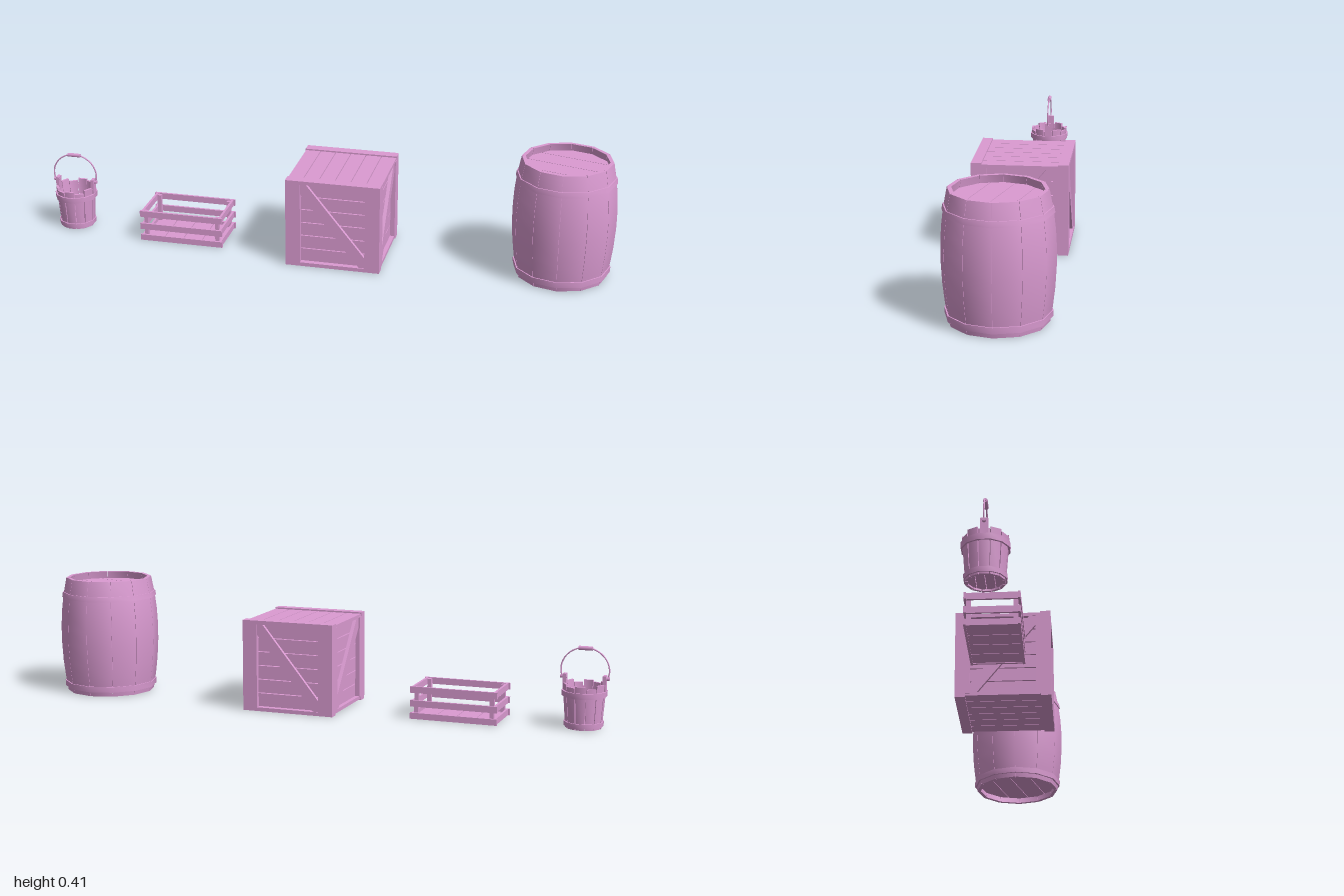
import * as THREE from 'three';
import { mergeGeometries, toCreasedNormals } from 'three/addons/utils/BufferGeometryUtils.js';

const material = new THREE.MeshStandardMaterial({ color: 0xdb9bd2, side: THREE.DoubleSide });

function add(parent, name, geometry, x = 0, y = 0, z = 0) {
  const mesh = new THREE.Mesh(geometry, material);
  mesh.name = name;
  mesh.position.set(x, y, z);
  parent.add(mesh);
  return mesh;
}

// Box given by its limits on each axis
function box(parent, name, [x0, x1], [y0, y1], [z0, z1]) {
  return add(parent, name, new THREE.BoxGeometry(x1 - x0, y1 - y0, z1 - z0),
    (x0 + x1) / 2, (y0 + y1) / 2, (z0 + z1) / 2);
}

function group(parent, name, x = 0, y = 0, z = 0) {
  const g = new THREE.Group();
  g.name = name;
  g.position.set(x, y, z);
  parent.add(g);
  return g;
}

// Closed ring profile from an outer line [r, y] and a wall thickness
function wall(outer, thickness) {
  const out = outer.map(([r, y]) => new THREE.Vector2(r, y));
  const inn = outer.map(([r, y]) => new THREE.Vector2(r - thickness, y)).reverse();
  return [...out, ...inn, out[0].clone()];
}

// Ring of separate staves: narrow gaps, closed sides, optional extra height per stave
function staves(profile, count, start, gap, rise = () => 0) {
  const top = Math.max(...profile.map(p => p.y));
  const step = Math.PI * 2 / count;
  const lathe = toCreasedNormals(new THREE.LatheGeometry(profile, count, start), 0.65);
  const pos = lathe.attributes.position;
  const perStave = pos.count / count;
  for (let v = 0; v < pos.count; v++) {
    const i = Math.floor(v / perStave);
    const mid = start + (i + 0.5) * step;
    const x = pos.getX(v), y = pos.getY(v), z = pos.getZ(v);
    const side = Math.sin(Math.atan2(x, z) - mid) > 0 ? -1 : 1;
    const c = Math.cos(side * gap), s = Math.sin(side * gap);
    pos.setXYZ(v, x * c + z * s, y > top - 1e-4 ? y + rise(i) : y, z * c - x * s);
  }
  const parts = [lathe];
  for (let i = 0; i < count; i++) {
    const section = profile.slice(0, -1).map(p => new THREE.Vector2(p.x, p.y > top - 1e-4 ? p.y + rise(i) : p.y));
    for (const phi of [start + i * step + gap, start + (i + 1) * step - gap]) {
      parts.push(new THREE.ShapeGeometry(new THREE.Shape(section)).rotateY(phi - Math.PI / 2).toNonIndexed());
    }
  }
  return mergeGeometries(parts);
}

function hoop(r0, r1, y0, y1, sides, start) {
  const profile = wall([[r0, y0], [r1, y1]], 0.012);
  return toCreasedNormals(new THREE.LatheGeometry(profile, sides, start), 0.65);
}

// Round head made of parallel boards
function head(parent, name, radius, y, thickness, count, turn) {
  const g = group(parent, name, 0, y, 0);
  g.rotation.y = turn;
  const w = radius * 2 / count;
  for (let i = 0; i < count; i++) {
    const a0 = Math.asin(Math.max(-1, -1 + (i * w + 0.001) / radius));
    const a1 = Math.asin(Math.min(1, -1 + ((i + 1) * w - 0.001) / radius));
    const pts = [];
    for (const side of [1, -1]) {
      for (let k = 0; k <= 5; k++) {
        const a = THREE.MathUtils.lerp(side > 0 ? a0 : a1, side > 0 ? a1 : a0, k / 5);
        pts.push(new THREE.Vector2(side * Math.cos(a) * radius, Math.sin(a) * radius));
      }
    }
    const geo = new THREE.ExtrudeGeometry(new THREE.Shape(pts), { depth: thickness, bevelEnabled: false });
    add(g, 'headBoard', geo.rotateX(-Math.PI / 2));
  }
}

function buildBarrel(root) {
  const g = group(root, 'barrel', 0.826);
  const outer = [[0.155, 0], [0.163, 0.05], [0.17, 0.11], [0.174, 0.18], [0.174, 0.235],
    [0.171, 0.29], [0.164, 0.35], [0.152, 0.412]];
  add(g, 'barrelStaves', staves(wall(outer, 0.013), 12, 0, 0.003));
  add(g, 'lowerHoop', hoop(0.164, 0.165, 0.016, 0.036, 12, 0));
  add(g, 'upperHoop', hoop(0.169, 0.166, 0.342, 0.36, 12, 0));
  head(g, 'barrelTop', 0.145, 0.375, 0.012, 4, -0.26);
  head(g, 'barrelBottom', 0.146, 0.02, 0.012, 4, -0.26);
}

function buildCrate(root) {
  const g = group(root, 'crate', 0.065);
  const H = 0.163, top = 0.314, lid = 0.013, post = 0.035, skin = 0.016;
  // Four sides: horizontal boards, two posts and a diagonal brace
  for (let s = 0; s < 4; s++) {
    const side = group(g, 'crateSide');
    side.rotation.y = s * Math.PI / 2;
    const half = s % 2 ? H : H - skin;
    const n = 6, h = (top - 2 * lid) / n;
    for (let i = 0; i < n; i++) {
      box(side, 'sideBoard', [-H + skin, H - skin], [lid + i * h + 0.0015, lid + (i + 1) * h - 0.0015],
        [H - skin - 0.012, H - skin]);
    }
    for (const m of [-1, 1]) {
      const inner = H - skin - post;
      box(side, 'cornerPost', m < 0 ? [-half, -inner] : [inner, half], [lid, top - lid], [H - skin, H]);
    }
    // Brace runs corner to corner inside the posts
    const x = H - skin - post, y0 = lid, y1 = top - lid, c = 0.036;
    const fall = s % 2 ? -1 : 1;
    const brace = new THREE.Shape([[-x, y1], [-x, y1 - c], [x - 0.02, y0], [x, y0], [x, y0 + c], [-x + 0.02, y1]]
      .map(([px, py]) => new THREE.Vector2(px * fall, py)));
    add(side, 'diagonalBrace', new THREE.ExtrudeGeometry(brace, { depth: skin - 0.004, bevelEnabled: false }),
      0, 0, H - skin);
  }
  // Top and bottom: boards along z between two battens
  for (const up of [0, 1]) {
    const y = up ? [top - lid, top] : [0, lid];
    const yb = up ? [top - lid - 0.004, top - 0.005] : [0.005, lid + 0.004];
    for (const z of [[-H, -H + post], [H - post, H]]) box(g, 'batten', [-H, H], y, z);
    const n = 6, w = 2 * H / n;
    for (let i = 0; i < n; i++) {
      box(g, up ? 'topBoard' : 'bottomBoard', [-H + i * w + 0.0015, -H + (i + 1) * w - 0.0015], yb,
        [-H + post, H - post]);
    }
  }
}

function buildTray(root) {
  const g = group(root, 'slattedTray', -0.498);
  const X = 0.15, Z = 0.088, t = 0.008;
  for (const [y0, y1] of [[0, 0.021], [0.042, 0.064], [0.089, 0.111]]) {
    for (const m of [-1, 1]) {
      add(g, 'longSlat', new THREE.BoxGeometry(2 * X, y1 - y0, t), 0, (y0 + y1) / 2, m * (Z - t / 2));
      add(g, 'endSlat', new THREE.BoxGeometry(t, y1 - y0, 2 * (Z - t)), m * (X - 0.009), (y0 + y1) / 2, 0);
    }
  }
  for (const mx of [-1, 1]) for (const mz of [-1, 1]) {
    add(g, 'cornerPost', new THREE.BoxGeometry(0.014, 0.106, 0.014), mx * (X - 0.02), 0.055, mz * (Z - t - 0.007));
  }
  const n = 4, w = 2 * (X - 0.013) / n;
  for (let i = 0; i < n; i++) {
    add(g, 'floorBoard', new THREE.BoxGeometry(w - 0.003, 0.008, 2 * (Z - t)), -X + 0.013 + (i + 0.5) * w, 0.006, 0);
  }
}

function buildBucket(root) {
  const g = group(root, 'bucket', -0.918);
  const n = 12, start = Math.PI / n;
  const rises = [0, 0.008, 0.003, 0.01, 0.004, 0.011];
  add(g, 'bucketStaves', staves(wall([[0.06, 0], [0.071, 0.138]], 0.008), n, start, 0.02, i => rises[(i * 5) % 6]));
  add(g, 'lowerHoop', hoop(0.065, 0.066, 0.006, 0.022, n, start));
  add(g, 'upperHoop', hoop(0.074, 0.075, 0.106, 0.125, n, start));
  head(g, 'bucketBottom', 0.056, 0.006, 0.008, 4, 0);
  // Ears that carry the handle
  for (const m of [-1, 1]) {
    box(g, 'handleEar', m > 0 ? [0.06, 0.071] : [-0.071, -0.06], [0.12, 0.176], [-0.012, 0.012]);
    const pin = add(g, 'handlePin', new THREE.CylinderGeometry(0.006, 0.006, 0.022, 8), m * 0.07, 0.166, 0);
    pin.rotation.z = Math.PI / 2;
  }
  // Wire handle with a wooden grip
  const pts = [];
  for (let i = 0; i <= 12; i++) {
    const a = Math.PI * (-0.1 + 1.2 * i / 12);
    pts.push(new THREE.Vector3(0.08 * Math.cos(a), 0.19 + 0.075 * Math.sin(a), 0));
  }
  add(g, 'handleWire', new THREE.TubeGeometry(new THREE.CatmullRomCurve3(pts), 32, 0.0025, 6));
  const grip = add(g, 'handleGrip', new THREE.CylinderGeometry(0.007, 0.007, 0.046, 8), 0, 0.263, 0);
  grip.rotation.z = Math.PI / 2;
}

export function createModel() {
  const root = new THREE.Group();
  root.name = 'storageSet';
  buildBarrel(root);
  buildCrate(root);
  buildTray(root);
  buildBucket(root);
  return root;
}
